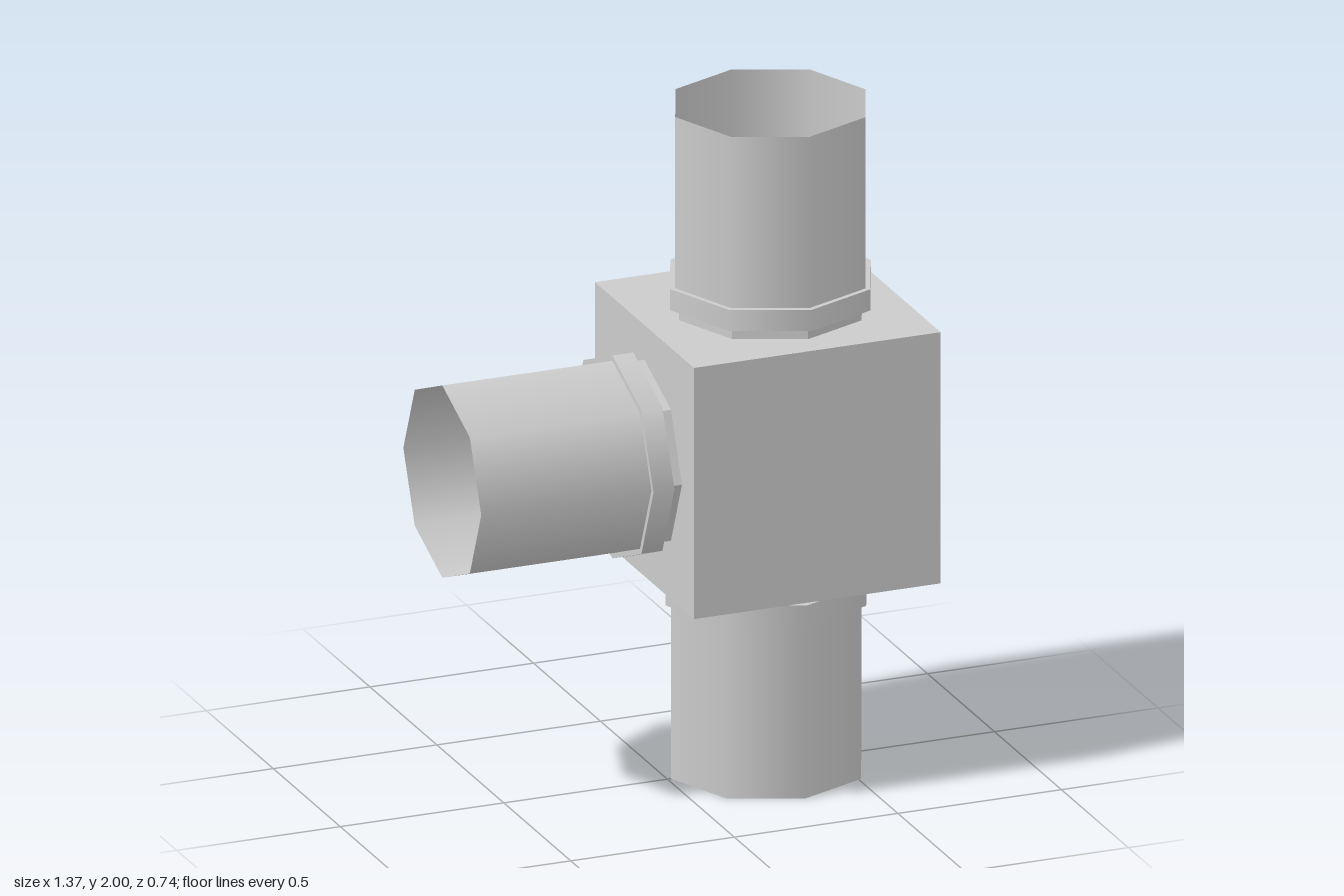
import * as THREE from 'three';

const SIDES = 8;
const NECK_R = 0.28, PIPE_R = 0.291, COLLAR_R = 0.307;
const BOX = { x: 0.307, y: 1.004, w: 0.754, h: 0.76, d: 0.74 };

const smooth = new THREE.MeshStandardMaterial({ color: 0xcccccc, side: THREE.DoubleSide });
const flat = new THREE.MeshStandardMaterial({ color: 0xcccccc, side: THREE.DoubleSide, flatShading: true });

function add(parent, name, geometry, material) {
  const mesh = new THREE.Mesh(geometry, material);
  mesh.name = name;
  parent.add(mesh);
  return mesh;
}

// One octagonal band between two (radius, height) points
function band(r0, y0, r1, y1) {
  return new THREE.LatheGeometry([new THREE.Vector2(r0, y0), new THREE.Vector2(r1, y1)], SIDES);
}

// Open pipe with collar and neck, running up +y from the junction face
function makeBranch(name, length) {
  const branch = new THREE.Group();
  branch.name = name;
  const neckTop = 0.034, collarTop = 0.098;
  add(branch, 'neck', band(NECK_R, 0, NECK_R, neckTop), flat);
  add(branch, 'collarUnderside', band(NECK_R, neckTop, COLLAR_R, neckTop), flat);
  add(branch, 'collarRim', band(COLLAR_R, neckTop, COLLAR_R, collarTop), smooth);
  add(branch, 'collarTop', band(COLLAR_R, collarTop, PIPE_R, collarTop), flat);
  add(branch, 'pipe', band(PIPE_R, collarTop, PIPE_R, length), smooth);
  return branch;
}

// Flat wall, with an octagonal opening when a hole centre is given
function wall(w, h, hole) {
  const shape = new THREE.Shape([[-1, -1], [1, -1], [1, 1], [-1, 1]]
    .map(([x, y]) => new THREE.Vector2(x * w / 2, y * h / 2)));
  if (hole) {
    const points = [];
    for (let i = 0; i < SIDES; i++) {
      const a = -i * Math.PI * 2 / SIDES;
      points.push(new THREE.Vector2(hole[0] + NECK_R * Math.cos(a), hole[1] + NECK_R * Math.sin(a)));
    }
    shape.holes.push(new THREE.Path(points));
  }
  return new THREE.ShapeGeometry(shape);
}

export function createModel() {
  const model = new THREE.Group();
  model.name = 'pipeTee';
  const { x, y, w, h, d } = BOX;
  const q = Math.PI / 2;

  // Hollow junction box, open where the branches join
  const box = new THREE.Group();
  box.name = 'junctionBox';
  box.position.set(x, y, 0);
  model.add(box);
  const topX = 0.315, bottomX = 0.302, sideY = 0.999;
  add(box, 'topWall', wall(w, d, [topX - x, 0]).rotateX(-q).translate(0, h / 2, 0), flat);
  add(box, 'bottomWall', wall(w, d, [bottomX - x, 0]).rotateX(q).translate(0, -h / 2, 0), flat);
  add(box, 'branchWall', wall(d, h, [0, sideY - y]).rotateY(-q).translate(-w / 2, 0, 0), flat);
  add(box, 'closedSideWall', wall(d, h).rotateY(q).translate(w / 2, 0, 0), flat);
  add(box, 'frontWall', wall(w, h).translate(0, 0, d / 2), flat);
  add(box, 'backWall', wall(w, h).rotateY(2 * q).translate(0, 0, -d / 2), flat);

  // Three branches
  const top = makeBranch('topBranch', 2 - (y + h / 2));
  top.position.set(topX, y + h / 2, 0);

  const bottom = makeBranch('bottomBranch', y - h / 2);
  bottom.position.set(bottomX, y - h / 2, 0);
  bottom.rotation.x = Math.PI;

  const side = makeBranch('sideBranch', 0.618);
  side.position.set(x - w / 2, sideY, 0);
  side.rotation.z = q;

  model.add(top, bottom, side);
  return model;
}
